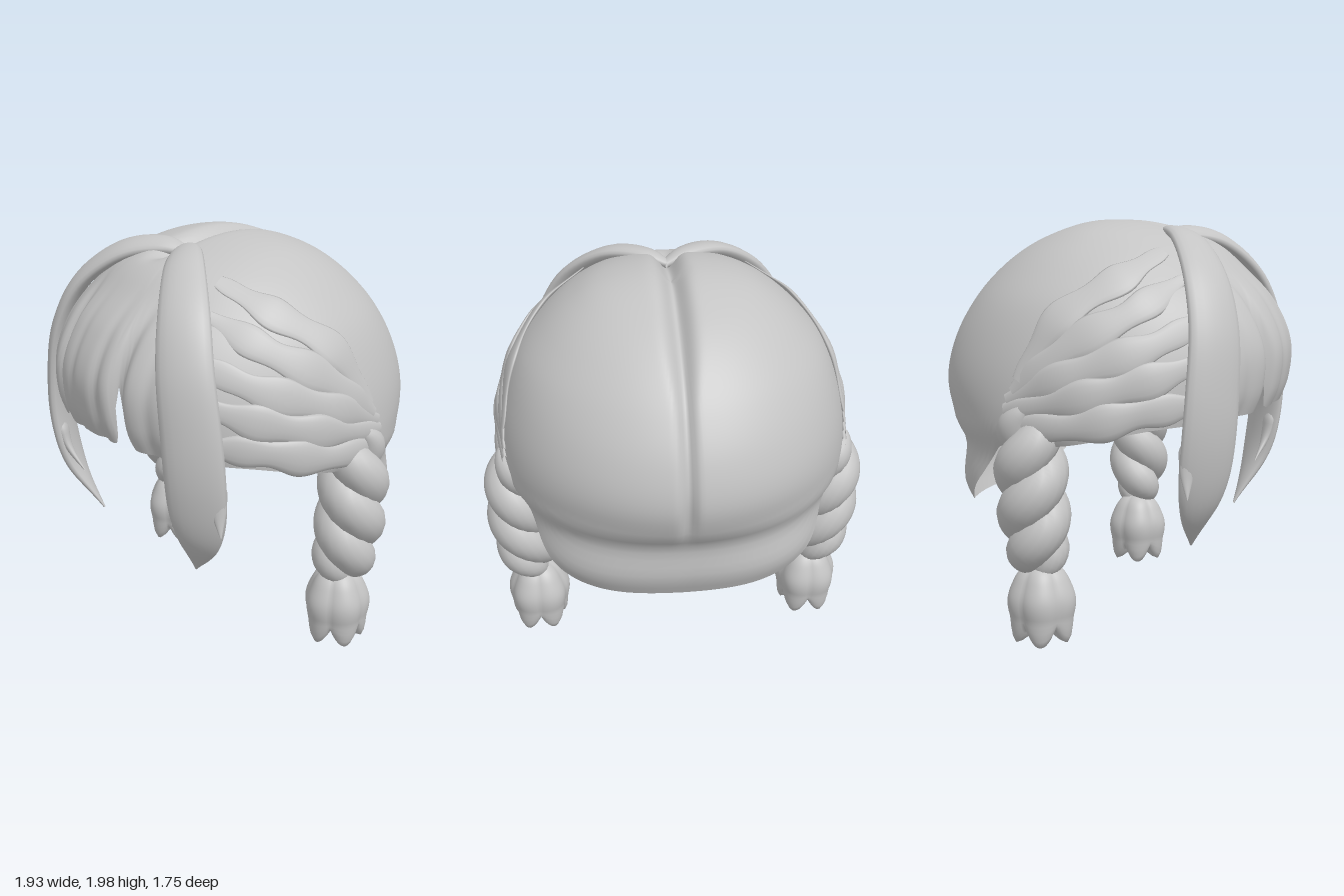
import * as THREE from 'three';

const V = (x, y, z) => new THREE.Vector3(x, y, z);
const { smoothstep, lerp, degToRad } = THREE.MathUtils;
const bell = (d, w) => Math.exp(-((d / w) ** 2));

// Smooth one-dimensional interpolation through knots
function curve(xs, ys) {
  const slope = xs.map((_, i) => {
    const a = Math.max(i - 1, 0), b = Math.min(i + 1, xs.length - 1);
    return (ys[b] - ys[a]) / (xs[b] - xs[a]);
  });
  return (x) => {
    let i = 0;
    while (i < xs.length - 2 && x > xs[i + 1]) i++;
    const h = xs[i + 1] - xs[i], t = THREE.MathUtils.clamp((x - xs[i]) / h, 0, 1);
    return (1 + 2 * t) * (1 - t) ** 2 * ys[i] + t * (1 - t) ** 2 * h * slope[i]
      + t * t * (3 - 2 * t) * ys[i + 1] + t * t * (t - 1) * h * slope[i + 1];
  };
}

// Surface of closed rings: fn(u, v), u running round and v running along
function rings(nu, nv, fn) {
  const pos = [], idx = [];
  for (let j = 0; j <= nv; j++) {
    for (let i = 0; i < nu; i++) pos.push(...fn(i / nu, j / nv).toArray());
  }
  for (let j = 0; j < nv; j++) {
    for (let i = 0; i < nu; i++) {
      const a = j * nu + i, b = j * nu + (i + 1) % nu;
      idx.push(a, a + nu, b, b, a + nu, b + nu);
    }
  }
  const g = new THREE.BufferGeometry();
  g.setAttribute('position', new THREE.Float32BufferAttribute(pos, 3));
  g.setIndex(idx);
  g.computeVertexNormals();
  return g;
}

// Direction pointing away from the head
const outward = (p) => V(p.x, Math.max(p.y - 1.2, 0), p.z).normalize();

// Strand lying flat against the head: half width and half thickness vary along it
function strand(points, width, thick, steps = 40, sides = 14) {
  const path = new THREE.CatmullRomCurve3(points);
  const frames = [];
  for (let j = 0; j <= steps; j++) {
    const t = j / steps, p = path.getPoint(t), T = path.getTangent(t);
    const w = T.clone().cross(outward(p)).normalize();
    frames.push({ p, w, n: w.clone().cross(T) });
  }
  return rings(sides, steps, (u, v) => {
    const f = frames[Math.round(v * steps)], a = -u * Math.PI * 2;
    return f.p.clone().addScaledVector(f.w, Math.cos(a) * width(v))
      .addScaledVector(f.n, Math.sin(a) * thick(v));
  });
}

// Head-cap cross-sections by height
const levels = [2, 1.95, 1.87, 1.75, 1.6, 1.4, 1.2, 1.02, 0.9, 0.7, 0.58];
const depthOf = (y) => Math.sqrt(Math.max(2 - y, 0));
const knots = levels.map(depthOf);
const halfWidth = curve(knots, [0, 0.34, 0.49, 0.63, 0.75, 0.83, 0.87, 0.87, 0.8, 0.77, 0.72]);
const back = curve(knots, [0, 0.26, 0.44, 0.6, 0.73, 0.84, 0.88, 0.83, 0.75, 0.74, 0.69]);
const front = curve(knots, [0, 0.3, 0.5, 0.64, 0.78, 0.87, 0.86, 0.79, 0.78, 0.78, 0.78]);
// Height of the lower edge by angle from the front
const hem = curve([0, 35, 60, 90, 112, 123, 135, 150, 180],
  [1.11, 1.08, 1.06, 0.98, 0.95, 0.78, 0.65, 0.6, 0.58]);

function capPoint(angle, y) {
  const s = depthOf(y), sn = Math.sin(angle), cs = Math.cos(angle);
  const n = cs > 0 ? 2.05 : lerp(2.7, 2, smoothstep(y, 0.7, 1.1));
  const x = halfWidth(s) * Math.sign(sn) * Math.abs(sn) ** (2 / n);
  const z = (cs > 0 ? front(s) : -back(s)) * Math.abs(cs) ** (2 / n);
  return V(x, y, z);
}

function cap() {
  return rings(288, 56, (u, v) => {
    const angle = (u > 0.5 ? u - 1 : u) * Math.PI * 2;
    const isFront = Math.abs(angle) < 0.9;
    let edge = hem(Math.abs(THREE.MathUtils.radToDeg(angle)));
    // slits between the clumps of the fringe
    const ex = capPoint(angle, 1.15).x;
    if (isFront) edge += 0.18 * bell(ex + 0.24, 0.026) + 0.3 * bell(ex - 0.27, 0.026);
    const s = v * Math.sqrt(2 - edge);
    const p = capPoint(angle, 2 - s * s);
    // centre parting, deepest over the crown
    const crown = smoothstep(p.y, 1.6, 1.95);
    let cut = lerp(0.045, 0.08, crown) * bell(p.x, lerp(0.03, 0.055, crown))
      * smoothstep(p.y, 0.9, 1.2) * (1 - smoothstep(p.z, 0.3, 0.5));
    // furrows of the fringe
    if (isFront) {
      const low = 1 - smoothstep(p.y, 1.4, 1.85);
      for (const [x, d, w] of [[-0.24, 0.05, 0.035], [0.27, 0.05, 0.035], [-0.07, 0.012, 0.03],
        [0.13, 0.018, 0.03], [-0.4, 0.012, 0.03], [0.42, 0.012, 0.03]]) {
        cut += d * bell(p.x - x, w) * low;
      }
    }
    return p.addScaledVector(outward(p), -cut);
  });
}

// Flared tuft with pointed ends below each braid
function tuft(s) {
  const radius = curve([0, 0.1, 0.25, 0.5, 0.75, 0.9, 1], [0.05, 0.1, 0.135, 0.165, 0.155, 0.125, 0]);
  return rings(60, 28, (u, v) => {
    const a = u * Math.PI * 2, lobe = Math.abs(Math.cos(a * 2.5));
    const r = radius(v) * (0.88 + 0.12 * lobe);
    const y = 0.4 - 0.31 * Math.min(v / 0.9, 1) - 0.08 * lobe * bell(v - 0.9, 0.08);
    return V(s * (0.73 + Math.sin(a) * r), y, -0.14 + Math.cos(a) * r);
  });
}

export function createModel() {
  const model = new THREE.Group();
  const hair = new THREE.MeshStandardMaterial({ color: 0xc4c4c4, side: THREE.DoubleSide });
  hair.name = 'hair grey';
  const add = (parent, name, geometry) => {
    const m = new THREE.Mesh(geometry, hair);
    m.name = name;
    parent.add(m);
  };

  add(model, 'hairCap', cap());

  for (const s of [1, -1]) {
    const side = new THREE.Group();
    side.name = s > 0 ? 'leftSide' : 'rightSide';
    model.add(side);
    const path = (list) => list.map(([x, y, z]) => V(s * x, y, z));

    // long face-framing lock with two small flicks
    add(side, 'faceLock', strand(
      path([[-0.01, 1.9, 0.25], [0.1, 1.925, 0.32], [0.26, 1.89, 0.44], [0.45, 1.73, 0.57], [0.56, 1.5, 0.64],
        [0.62, 1.2, 0.65], [0.625, 0.92, 0.63], [0.58, 0.68, 0.585], [0.44, 0.46, 0.51]]),
      curve([0, 0.12, 0.25, 0.45, 0.75, 0.88, 1], [0.03, 0.07, 0.1, 0.13, 0.14, 0.1, 0.005]),
      curve([0, 0.1, 0.5, 0.85, 1], [0.02, 0.035, 0.045, 0.04, 0.005]), 64, 18));
    const taper = (r) => (t) => r * (1 - t) * Math.min(1, 0.1 + t * 4) + 0.003;
    add(side, 'outerFlick', strand(path([[0.67, 1.05, 0.57], [0.7, 0.86, 0.56], [0.73, 0.75, 0.57]]), taper(0.065), taper(0.035), 20));
    add(side, 'innerFlick', strand(path([[0.58, 1.0, 0.68], [0.53, 0.82, 0.66], [0.42, 0.71, 0.63]]), taper(0.065), taper(0.035), 20));

    // woven strands swept back over the temple
    const woven = [
      [[50, 1.84], [72, 1.72], [92, 1.54], [103, 1.27]],
      [[46, 1.72], [68, 1.58], [88, 1.42], [105, 1.22]],
      [[45, 1.54], [65, 1.42], [86, 1.31], [107, 1.18]],
      [[45, 1.37], [64, 1.28], [84, 1.2], [108, 1.13]],
      [[45, 1.18], [64, 1.14], [84, 1.08], [108, 1.06]],
    ];
    woven.forEach((list, k) => {
      const swell = (t) => Math.sin(Math.PI * (0.04 + 0.92 * t)) ** 0.5
        * (0.85 + 0.15 * Math.cos(t * 19 + k * 2.2));
      add(side, 'templeStrand', strand(
        list.map(([a, y]) => capPoint(s * degToRad(a), y)).map((p) => p.addScaledVector(outward(p), 0.008)),
        (t) => 0.092 * swell(t), (t) => (0.018 + 0.004 * k) * swell(t) * (0.7 + 0.5 * t)));
    });

    // two-strand twisted braid
    const cx = curve([0, 0.4, 0.7, 1], [0.79, 0.795, 0.78, 0.735]);
    for (const phase of [0, Math.PI]) {
      const pts = [];
      for (let i = 0; i <= 36; i++) {
        const t = i / 36, a = phase + t * Math.PI * 3.8;
        const r = 0.062 * (1 - 0.7 * smoothstep(t, 0.82, 1));
        pts.push(V(s * (cx(t) + r * Math.cos(a)), 1.14 - 0.8 * t, -0.17 + 0.03 * t - r * Math.sin(a)));
      }
      const r = curve([0, 0.14, 0.8, 1], [0.03, 0.1, 0.104, 0.05]);
      add(side, 'braidStrand', strand(pts, r, r, 80, 16));
    }
    add(side, 'braidTuft', tuft(s));
  }
  return model;
}
